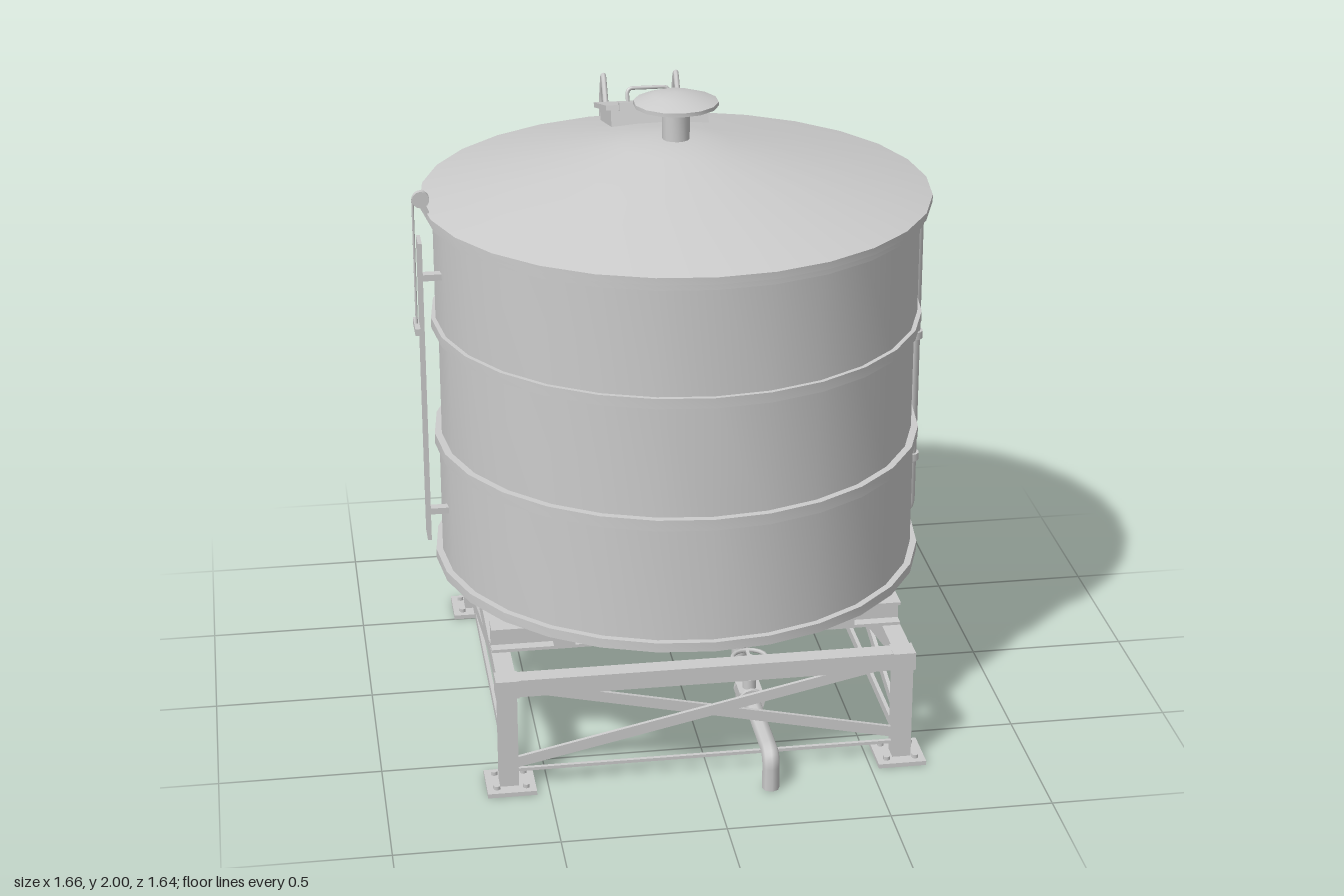
import * as THREE from 'three';
import { toCreasedNormals } from 'three/addons/utils/BufferGeometryUtils.js';

const mat = new THREE.MeshStandardMaterial({ color: 0xcccccc });
const openMat = new THREE.MeshStandardMaterial({ color: 0xcccccc, side: THREE.DoubleSide });
const CX = -0.008, CZ = 0.033; // tank and stand axis
const V = (x, y, z) => new THREE.Vector3(x, y, z);

function add(parent, name, geometry, x = 0, y = 0, z = 0, material = mat) {
  const mesh = new THREE.Mesh(geometry, material);
  mesh.name = name;
  mesh.position.set(x, y, z);
  parent.add(mesh);
  return mesh;
}
const box = (p, name, w, h, d, x, y, z) => add(p, name, new THREE.BoxGeometry(w, h, d), x, y, z);
const cyl = (p, name, r, h, x, y, z, sides = 12) => add(p, name, new THREE.CylinderGeometry(r, r, h, sides), x, y, z);

// Turned part, profile listed from bottom to top as [radius, y]
function turned(p, name, profile, sides = 28) {
  const g = new THREE.LatheGeometry(profile.map(([r, y]) => new THREE.Vector2(r, y)), sides);
  return add(p, name, toCreasedNormals(g, 0.6));
}

// Straight rectangular bar between two points, in the parent's own frame
function bar(p, name, a, b, w, h) {
  const m = box(p, name, w, h, a.distanceTo(b), 0, 0, 0);
  m.position.copy(a).add(b).multiplyScalar(0.5);
  m.quaternion.setFromRotationMatrix(new THREE.Matrix4().lookAt(b, a, V(0, 1, 0)));
  return m;
}

// Round pipe through points with rounded corners
function pipe(p, name, pts, r, bend = 0.02, sides = 8) {
  const path = new THREE.CurvePath();
  let last = pts[0];
  for (let i = 1; i < pts.length - 1; i++) {
    const toward = (q) => {
      const d = q.clone().sub(pts[i]);
      return pts[i].clone().add(d.setLength(Math.min(bend, d.length() * 0.45)));
    };
    const a = toward(pts[i - 1]), b = toward(pts[i + 1]);
    path.add(new THREE.LineCurve3(last, a));
    path.add(new THREE.QuadraticBezierCurve3(a, pts[i], b));
    last = b;
  }
  path.add(new THREE.LineCurve3(last, pts[pts.length - 1]));
  const steps = pts.length === 2 ? 1 : 140;
  return add(p, name, new THREE.TubeGeometry(path, steps, r, sides), 0, 0, 0, openMat);
}

function makeTank() {
  const g = new THREE.Group();
  g.name = 'tank';
  g.position.set(CX, 0, CZ);
  // Three plate courses, the middle one slightly narrower
  turned(g, 'shell', [[0, 0.5], [0.749, 0.5], [0.749, 0.905], [0.741, 0.905],
    [0.741, 1.295], [0.749, 1.295], [0.749, 1.67]]);
  const ring = (name, r, y0, y1) => turned(g, name, [[0.72, y0], [r, y0], [r, y1], [0.72, y1]]);
  ring('bottomRing', 0.77, 0.495, 0.525);
  ring('lowerHoop', 0.763, 0.89, 0.925);
  ring('upperHoop', 0.763, 1.28, 1.312);
  ring('topRing', 0.775, 1.65, 1.675);
  turned(g, 'roof', [[0, 1.67], [0.785, 1.67], [0.785, 1.692], [0.17, 1.84], [0.09, 1.852], [0, 1.856]]);
  // Roof vent
  turned(g, 'ventNeck', [[0.042, 1.84], [0.042, 1.945]], 14);
  turned(g, 'ventCap', [[0, 1.94], [0.06, 1.94], [0.13, 1.96], [0.13, 1.972], [0.07, 1.993], [0, 2]], 14);
  return g;
}

function makeHatch() {
  const g = new THREE.Group();
  g.name = 'roofHatch';
  g.position.set(CX, 1.815, -0.447);
  g.rotation.x = -0.265;
  box(g, 'hatchCurb', 0.31, 0.09, 0.28, 0, -0.05, 0);
  box(g, 'hatchLid', 0.345, 0.016, 0.32, 0, 0, 0);
  for (const s of [-1, 1]) box(g, 'hatchHinge', 0.055, 0.026, 0.035, s * 0.103, 0.002, 0.155);
  pipe(g, 'hatchHandle', [V(-0.068, 0, -0.11), V(-0.068, 0.05, -0.112),
    V(0.068, 0.05, -0.112), V(0.068, 0, -0.11)], 0.006, 0.02, 6);
  return g;
}

function makeStand() {
  const g = new THREE.Group();
  g.name = 'stand';
  g.position.set(CX, 0, CZ);
  const L = 0.612, P = 0.607; // half spacing of legs and base plates
  for (const sx of [-1, 1]) for (const sz of [-1, 1]) {
    box(g, 'leg', 0.058, 0.36, 0.058, sx * L, 0.19, sz * L);
    box(g, 'legCap', 0.07, 0.058, 0.07, sx * L, 0.346, sz * L);
    box(g, 'basePlate', 0.15, 0.014, 0.15, sx * P, 0.007, sz * P);
    for (const bx of [-1, 1]) for (const bz of [-1, 1])
      cyl(g, 'anchorBolt', 0.011, 0.014, sx * P + bx * 0.045, 0.019, sz * P + bz * 0.045, 6);
  }
  // Four sides: top beam, crossed flat braces and bottom tie
  for (let k = 0; k < 4; k++) {
    const side = new THREE.Group();
    side.name = 'standSide';
    side.rotation.y = k * Math.PI / 2;
    g.add(side);
    box(side, 'topBeam', 2 * L, 0.056, 0.058, 0, 0.346, L);
    for (const s of [-1, 1])
      bar(side, 'crossBrace', V(-s * 0.59, 0.085, L + s * 0.008), V(s * 0.59, 0.34, L + s * 0.008), 0.012, 0.034);
    const h = k % 2 ? 0.03 : 0.01;
    box(side, 'bottomTie', 2 * L, h, 0.012, 0, 0.055, L);
  }
  // I-beams running across
  for (const s of [-1, 1]) {
    const z = s * 0.41;
    box(g, 'beamWeb', 1.28, 0.07, 0.012, 0, 0.413, z);
    box(g, 'beamLowerFlange', 1.28, 0.01, 0.08, 0, 0.379, z);
    box(g, 'beamUpperFlange', 1.28, 0.01, 0.08, 0, 0.447, z);
  }
  // Joists under the tank floor
  for (const x of [-0.43, 0, 0.43]) box(g, 'joist', 0.063, 0.046, 1.2, x, 0.475, 0);
  return g;
}

function makeLadder() {
  const g = new THREE.Group();
  g.name = 'ladder';
  const Z = -0.795, xs = [-0.13, 0.11];
  for (const x of xs) {
    pipe(g, 'ladderRail', [V(x, 0, Z), V(x, 1.74, Z), V(x, 1.84, -0.752), V(x, 1.725, -0.675)], 0.009, 0.03);
    box(g, 'ladderFoot', 0.05, 0.012, 0.05, x, 0.006, Z);
    for (const y of [0.715, 1.46]) box(g, 'ladderBracket', 0.025, 0.025, 0.125, x, y, -0.743);
  }
  for (let i = 0; i < 9; i++) {
    const y = 0.172 + i * 0.168;
    pipe(g, 'ladderRung', [V(xs[0], y, Z), V(xs[1], y, Z)], 0.007, 0, 6);
  }
  return g;
}

function makeOverflow() {
  const g = new THREE.Group();
  g.name = 'overflowPipe';
  const X = 0.798, Z = -0.165;
  pipe(g, 'downPipe', [V(X, 1.59, Z), V(X, 0.475, Z), V(0.67, 0.435, Z),
    V(0.67, 0.08, Z), V(0.67, 0.03, -0.31)], 0.024, 0.025);
  cyl(g, 'pipeTop', 0.029, 0.035, X, 1.575, Z);
  pipe(g, 'overflowInlet', [V(0.7, 1.57, Z), V(X + 0.03, 1.57, Z)], 0.02);
  for (const y of [1.09, 0.66]) {
    cyl(g, 'pipeClamp', 0.032, 0.025, X, y, Z);
    box(g, 'clampArm', 0.08, 0.016, 0.03, 0.75, y, Z);
  }
  return g;
}

function makeDrain() {
  const g = new THREE.Group();
  g.name = 'drainPipe';
  const X = 0.172;
  pipe(g, 'drainRun', [V(X, 0.5, 0.207), V(X, 0.115, 0.207), V(X, 0.115, 0.778), V(X, 0, 0.778)], 0.027, 0.04);
  cyl(g, 'drainFlange', 0.055, 0.024, X, 0.472, 0.207);
  // Gate valve with hand wheel
  const Z = 0.39;
  box(g, 'valveBody', 0.075, 0.065, 0.08, X, 0.11, Z);
  for (const s of [-1, 1]) cyl(g, 'valveFlange', 0.042, 0.014, X, 0.115, Z + s * 0.045).rotation.x = Math.PI / 2;
  cyl(g, 'valveBonnet', 0.022, 0.04, X, 0.155, Z);
  cyl(g, 'valveStem', 0.009, 0.13, X, 0.19, Z, 8);
  add(g, 'handWheel', new THREE.TorusGeometry(0.055, 0.007, 6, 16), X, 0.245, Z).rotation.x = Math.PI / 2;
  for (const a of [0, Math.PI / 2]) box(g, 'wheelSpoke', 0.11, 0.008, 0.01, X, 0.245, Z).rotation.y = a;
  return g;
}

function makeGauge() {
  const g = new THREE.Group();
  g.name = 'levelGauge';
  const Z = 0.145;
  box(g, 'gaugeBoard', 0.012, 0.98, 0.08, -0.807, 1.12, Z);
  for (const y of [0.715, 1.49]) box(g, 'gaugeBracket', 0.08, 0.02, 0.03, -0.768, y, Z);
  // Pulley, cord and sliding pointer
  cyl(g, 'pulley', 0.026, 0.018, -0.798, 1.737, Z, 14).rotation.x = Math.PI / 2;
  bar(g, 'pulleyArm', V(-0.77, 1.67, Z), V(-0.798, 1.737, Z), 0.01, 0.012);
  pipe(g, 'gaugeCord', [V(-0.822, 1.737, Z), V(-0.822, 1.33, Z)], 0.004, 0, 6);
  box(g, 'gaugePointer', 0.016, 0.022, 0.105, -0.822, 1.33, Z);
  return g;
}

export function createModel() {
  const model = new THREE.Group();
  model.name = 'storageTank';
  model.add(makeTank(), makeHatch(), makeStand(), makeLadder(), makeOverflow(), makeDrain(), makeGauge());
  return model;
}
